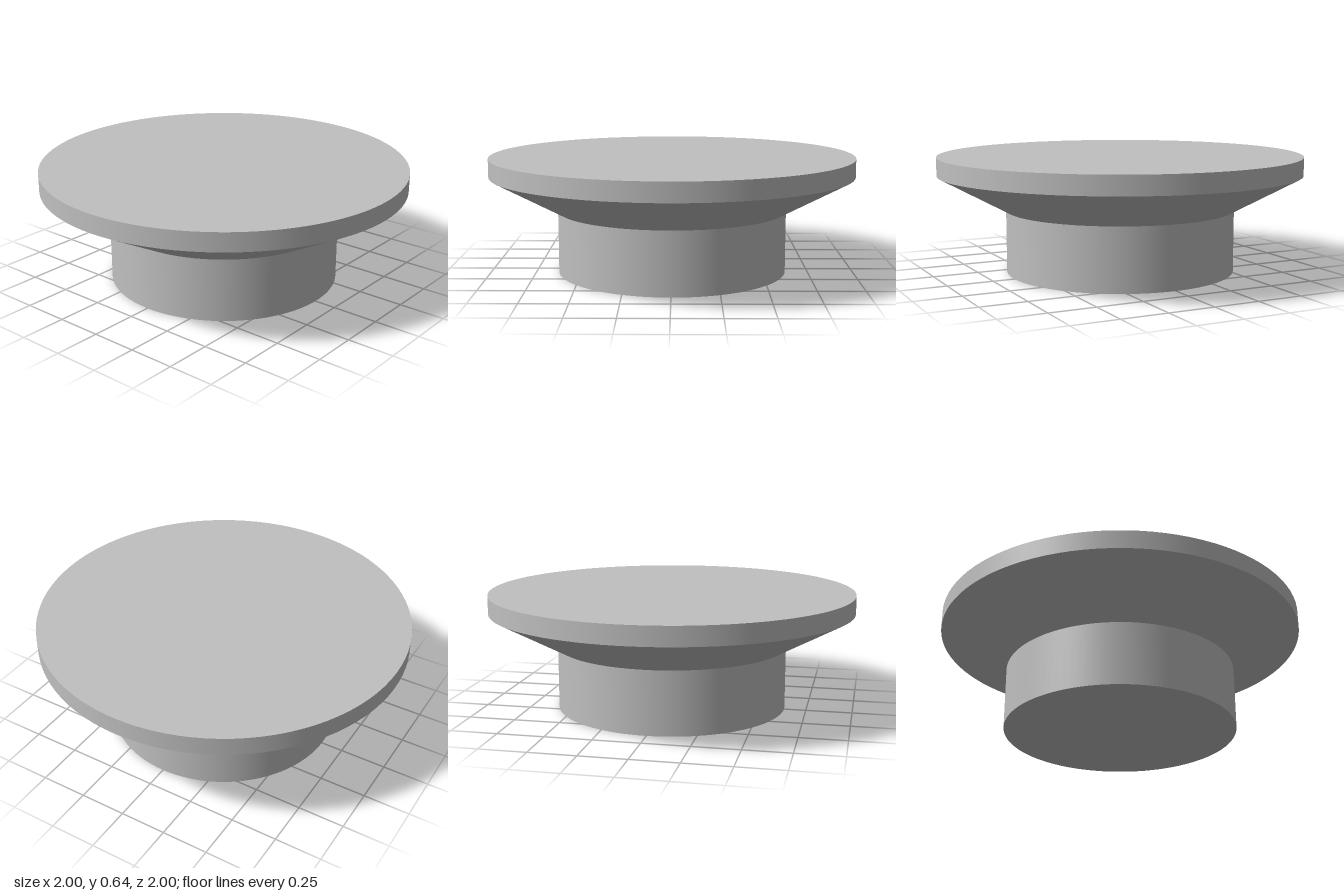
import * as THREE from 'three';

const SEGMENTS = 96;
const BASE_RADIUS = 0.63, RIM_RADIUS = 1;
const FLARE_BOTTOM = 0.342, RIM_BOTTOM = 0.542, TOP = 0.642;

export function createModel() {
  const group = new THREE.Group();
  group.name = 'flaredKnob';
  const grey = new THREE.MeshStandardMaterial({ color: 0xc0c0c0 });
  grey.name = 'plain grey';

  const add = (name, geometry) => {
    const mesh = new THREE.Mesh(geometry, grey);
    mesh.name = name;
    group.add(mesh);
  };

  // Open round wall between two heights
  const wall = (name, rBottom, rTop, y0, y1) =>
    add(name, new THREE.CylinderGeometry(rTop, rBottom, y1 - y0, SEGMENTS, 1, true)
      .translate(0, (y0 + y1) / 2, 0));

  // Flat disc facing up (1) or down (-1), aligned with the wall corners
  const disc = (name, radius, y, facing) =>
    add(name, new THREE.CircleGeometry(radius, SEGMENTS)
      .rotateX(-facing * Math.PI / 2).translate(0, y, 0));

  disc('baseUnderside', BASE_RADIUS, 0, -1);
  wall('base', BASE_RADIUS, BASE_RADIUS, 0, FLARE_BOTTOM);
  wall('flare', BASE_RADIUS, RIM_RADIUS, FLARE_BOTTOM, RIM_BOTTOM);
  wall('rim', RIM_RADIUS, RIM_RADIUS, RIM_BOTTOM, TOP);
  disc('topFace', RIM_RADIUS, TOP, 1);

  return group;
}
